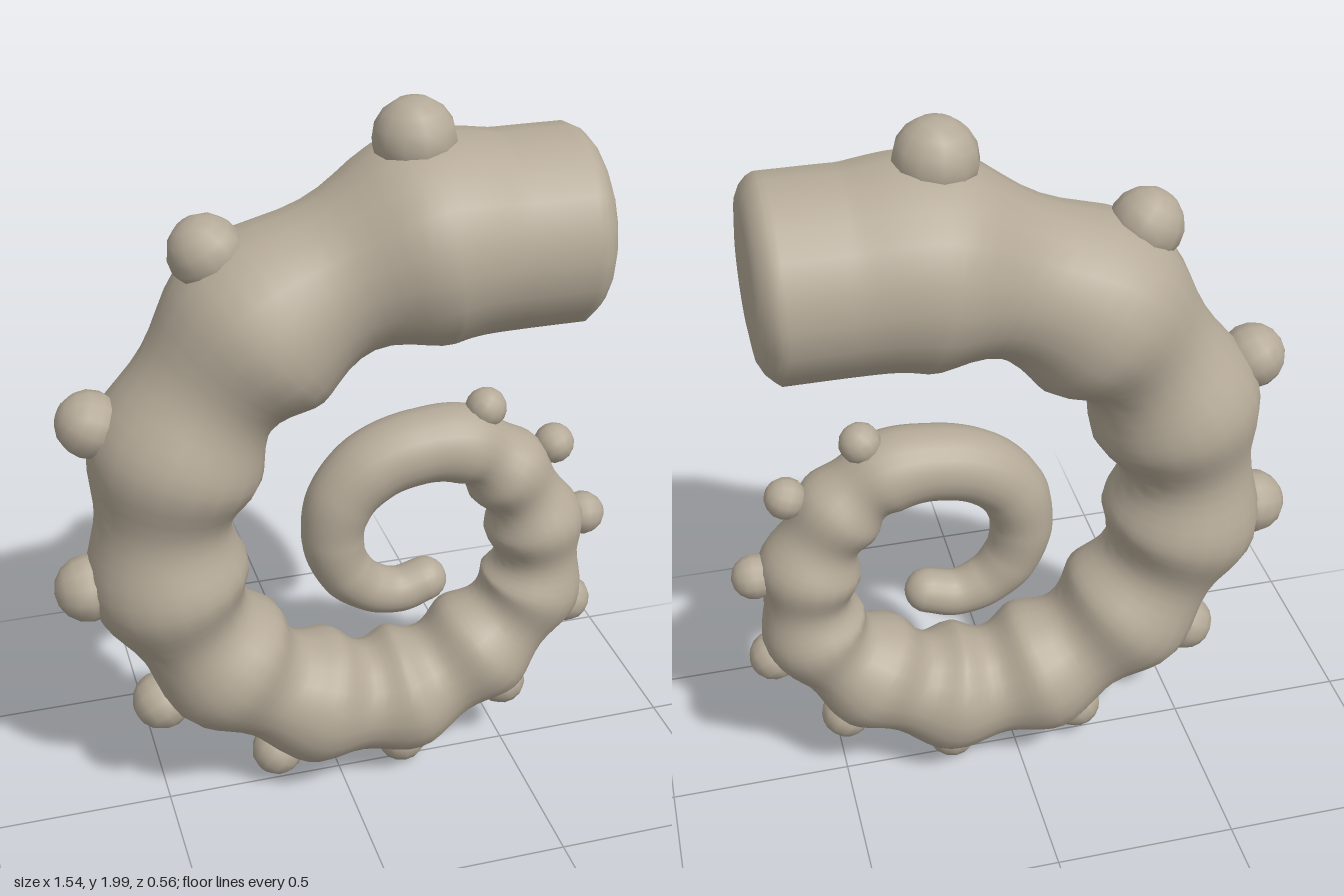
import * as THREE from 'three';

const SIDES = 20, STEPS = 10, U = 189; // U: layout units per model unit

// layout point (x right, y down) to model space
const at = (x, y) => new THREE.Vector3((x - 238.5) / U, (413.5 - y) / U, 0);

// centreline stations: x, y, radius, neck depth towards the next station
const SPINE = [
  [352, 105, 48, 0], [318, 105, 48, 0],
  [277, 106, 51, 0.2], [199, 140, 47, 0.19], [157, 201, 43.5, 0.2],
  [150, 270, 41, 0.2], [178, 327, 38, 0.2], [226, 360, 36.5, 0.17],
  [274, 365, 34.5, 0.18], [316, 344, 31.5, 0.18], [344, 310, 27.5, 0.18],
  [344, 270, 26, 0.18], [327, 237, 23, 0.14], [304, 219, 20.5, 0],
  [279, 217, 19, 0], [256, 224, 18.5, 0], [240, 240, 17.5, 0],
  [235, 262, 16, 0], [241, 283, 14.5, 0], [254, 296, 13, 0],
  [270, 301, 12, 0], [285, 297, 11.5, 0],
];

// knobs on the outer side of each swelling: x, y, radius
const KNOBS = [
  [274, 56, 20], [175.5, 100, 18], [117, 180, 16.5], [110, 271, 17],
  [143, 347, 15.5], [204, 393, 14], [274, 399, 14], [331, 372, 13.5],
  [366, 324, 13], [372, 271, 11.5], [353, 226, 10.5], [315, 200, 10.5],
];

function hornGeometry() {
  const curve = new THREE.CatmullRomCurve3(SPINE.map(([x, y]) => at(x, y)), false, 'centripetal');
  const last = SPINE.length - 1;
  const rings = [];

  // softly domed base with a rounded rim
  for (const [x, r] of [[0.66, 0.001], [0.659, 0.12], [0.65, 0.195], [0.635, 0.225], [0.617, 0.243]]) {
    rings.push({ p: new THREE.Vector3(x, 1.635, 0), t: new THREE.Vector3(-1, 0, 0), r });
  }

  // swellings and necks along the spiral
  for (let i = 0; i < last; i++) {
    for (let s = 0; s < STEPS; s++) {
      const f = s / STEPS, u = (i + f) / last;
      const ease = f * f * (3 - 2 * f);
      const neck = 1 - SPINE[i][3] * (1 - Math.cos(2 * Math.PI * f)) / 2;
      const r = THREE.MathUtils.lerp(SPINE[i][2], SPINE[i + 1][2], ease) * neck / U;
      rings.push({ p: curve.getPoint(u), t: curve.getTangent(u), r });
    }
  }

  // rounded tip
  const end = curve.getPoint(1), dir = curve.getTangent(1), tipR = SPINE[last][2] / U;
  for (let k = 0; k <= 5; k++) {
    const a = k / 5 * Math.PI / 2;
    rings.push({
      p: end.clone().addScaledVector(dir, tipR * Math.sin(a)),
      t: dir, r: Math.max(tipR * Math.cos(a), 0.0005),
    });
  }

  // loft the rings
  const pos = [], index = [];
  rings.forEach(({ p, t, r }, i) => {
    for (let j = 0; j < SIDES; j++) {
      const a = j / SIDES * Math.PI * 2, c = Math.cos(a) * r;
      pos.push(p.x - t.y * c, p.y + t.x * c, Math.sin(a) * r * 1.03);
      if (i === rings.length - 1) continue;
      const k = (j + 1) % SIDES, A = i * SIDES, B = A + SIDES;
      index.push(A + j, A + k, B + j, A + k, B + k, B + j);
    }
  });
  const geo = new THREE.BufferGeometry();
  geo.setAttribute('position', new THREE.Float32BufferAttribute(pos, 3));
  geo.setIndex(index);
  geo.computeVertexNormals();
  return geo;
}

export function createModel() {
  const model = new THREE.Group();
  model.name = 'spiralHorn';
  const stone = new THREE.MeshStandardMaterial({ color: 0xb5aa98 });
  stone.name = 'warm stone';

  const horn = new THREE.Mesh(hornGeometry(), stone);
  horn.name = 'horn';
  model.add(horn);

  // knobs, each with its pole pointing away from the horn
  const knobs = new THREE.Group();
  knobs.name = 'knobs';
  KNOBS.forEach(([x, y, r], i) => {
    const knob = new THREE.Mesh(new THREE.SphereGeometry(r / U, 12, 8), stone);
    knob.name = `knob${i + 1}`;
    knob.position.copy(at(x, y));
    const root = at(SPINE[i + 2][0], SPINE[i + 2][1]);
    const out = knob.position.clone().sub(root).normalize();
    knob.quaternion.setFromUnitVectors(new THREE.Vector3(0, 1, 0), out);
    knobs.add(knob);
  });
  model.add(knobs);
  return model;
}
